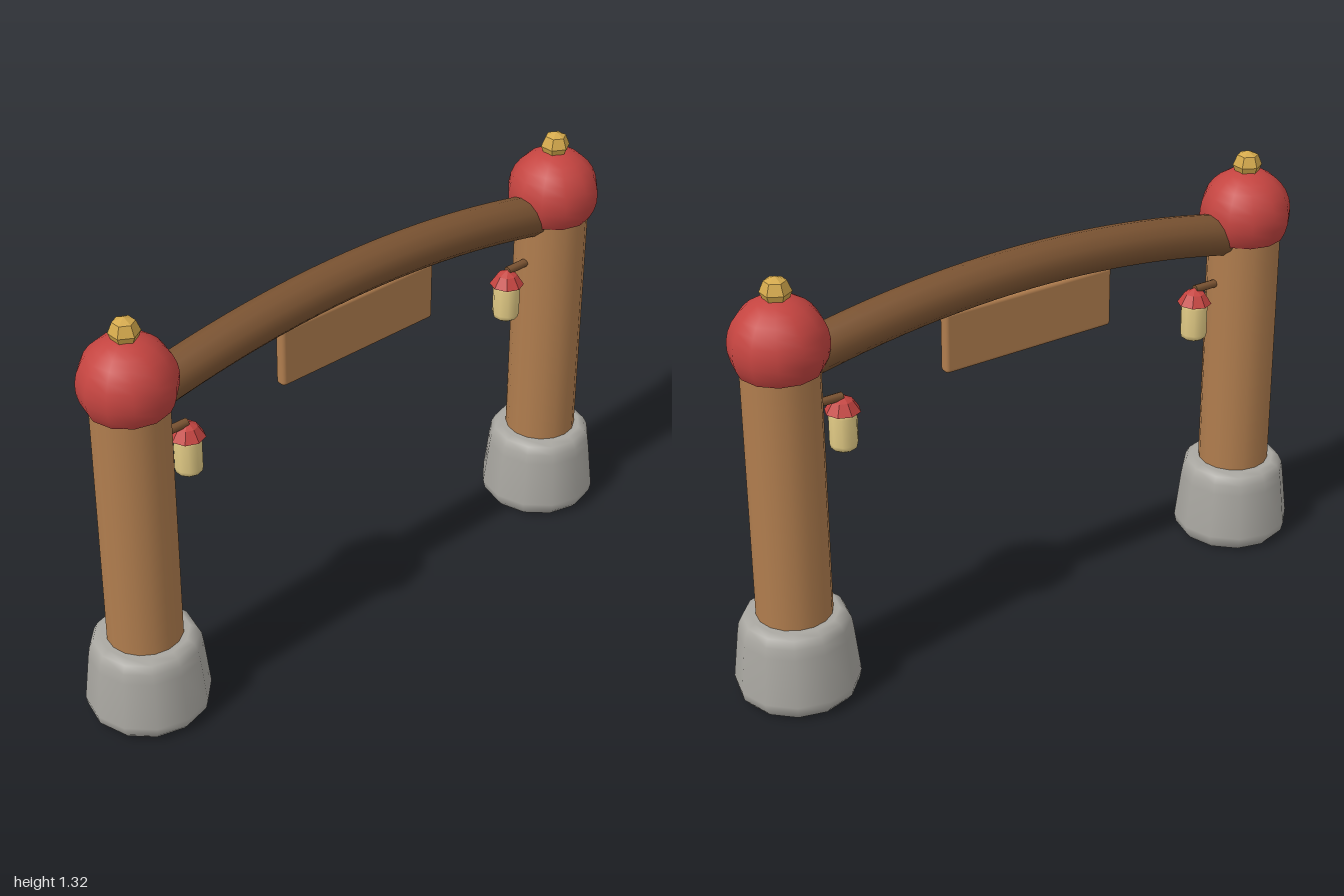
import * as THREE from 'three';
import { RoundedBoxGeometry } from 'three/addons/geometries/RoundedBoxGeometry.js';

const mat = (name, color, flatShading = false) => {
  const m = new THREE.MeshStandardMaterial({ color, flatShading });
  m.name = name;
  return m;
};

const lathe = (points, sides) =>
  new THREE.LatheGeometry(points.map(([r, y]) => new THREE.Vector2(r, y)), sides);

export function createModel() {
  const stone = mat('stone', 0xa9a7a1);
  const wood = mat('wood', 0xb07d4e);
  const darkWood = mat('dark wood', 0x7a5332);
  const red = mat('red', 0xc44440);
  const redRoof = red.clone();
  redRoof.flatShading = true;
  redRoof.name = 'lantern roof red';
  const gold = mat('gold', 0xd4a94c, true);
  const glow = mat('lantern glow', 0xe0c984);

  const group = new THREE.Group();
  const add = (parent, name, geometry, material, x = 0, y = 0, z = 0) => {
    const mesh = new THREE.Mesh(geometry, material);
    mesh.name = name;
    mesh.position.set(x, y, z);
    parent.add(mesh);
    return mesh;
  };

  // Shared profiles: rounded stone foot, lantern body and roof
  const footGeo = lathe([[0, 0], [0.148, 0], [0.164, 0.004], [0.179, 0.022], [0.185, 0.05],
    [0.168, 0.2], [0.163, 0.232], [0.151, 0.256], [0.13, 0.266], [0, 0.266]], 12);
  const bodyGeo = lathe([[0, 0.738], [0.03, 0.738], [0.039, 0.745], [0.042, 0.758],
    [0.042, 0.845], [0.036, 0.86], [0, 0.86]], 10);
  const roofGeo = lathe([[0, 0.856], [0.053, 0.857], [0.031, 0.89], [0, 0.906]], 8);
  const capGeo = new THREE.SphereGeometry(0.141, 12, 10, 0, Math.PI * 2, 0, 2.135);
  const finialGeo = new THREE.SphereGeometry(0.045, 6, 4, Math.PI / 2);

  for (const side of [-1, 1]) {
    const pillar = new THREE.Group();
    pillar.name = side < 0 ? 'rightPillar' : 'leftPillar';
    pillar.position.x = side * 0.815;
    group.add(pillar);
    add(pillar, 'foot', footGeo, stone);
    add(pillar, 'post', new THREE.CylinderGeometry(0.112, 0.112, 0.8, 16), wood, 0, 0.645);
    add(pillar, 'cap', capGeo, red, 0, 1.1155);
    // Disc closing the underside of the cap
    const disc = add(pillar, 'capUnderside', new THREE.CircleGeometry(0.119, 12), red, 0, 1.04);
    disc.rotation.x = Math.PI / 2;
    add(pillar, 'finial', finialGeo, gold, 0, 1.27);

    // Lantern hanging from a short peg on the inner side
    const arm = add(pillar, 'lanternArm', new THREE.CylinderGeometry(0.013, 0.013, 0.12, 8),
      darkWood, -side * 0.127, 0.902);
    arm.rotation.z = Math.PI / 2;
    add(pillar, 'lanternBody', bodyGeo, glow, -side * 0.187);
    add(pillar, 'lanternRoof', roofGeo, redRoof, -side * 0.187);
  }

  // Arched beam between the posts
  const arch = new THREE.QuadraticBezierCurve3(
    new THREE.Vector3(-0.76, 1.053, 0),
    new THREE.Vector3(0, 1.221, 0),
    new THREE.Vector3(0.76, 1.053, 0));
  add(group, 'beam', new THREE.TubeGeometry(arch, 24, 0.065, 12), darkWood);

  // Sign board and its hangers
  add(group, 'signBoard', new RoundedBoxGeometry(0.585, 0.19, 0.036, 2, 0.012), wood, 0, 0.973);
  for (const x of [-0.23, 0.23]) {
    add(group, 'signHanger', new THREE.CylinderGeometry(0.014, 0.014, 0.07, 8), darkWood, x, 1.085);
  }
  return group;
}
